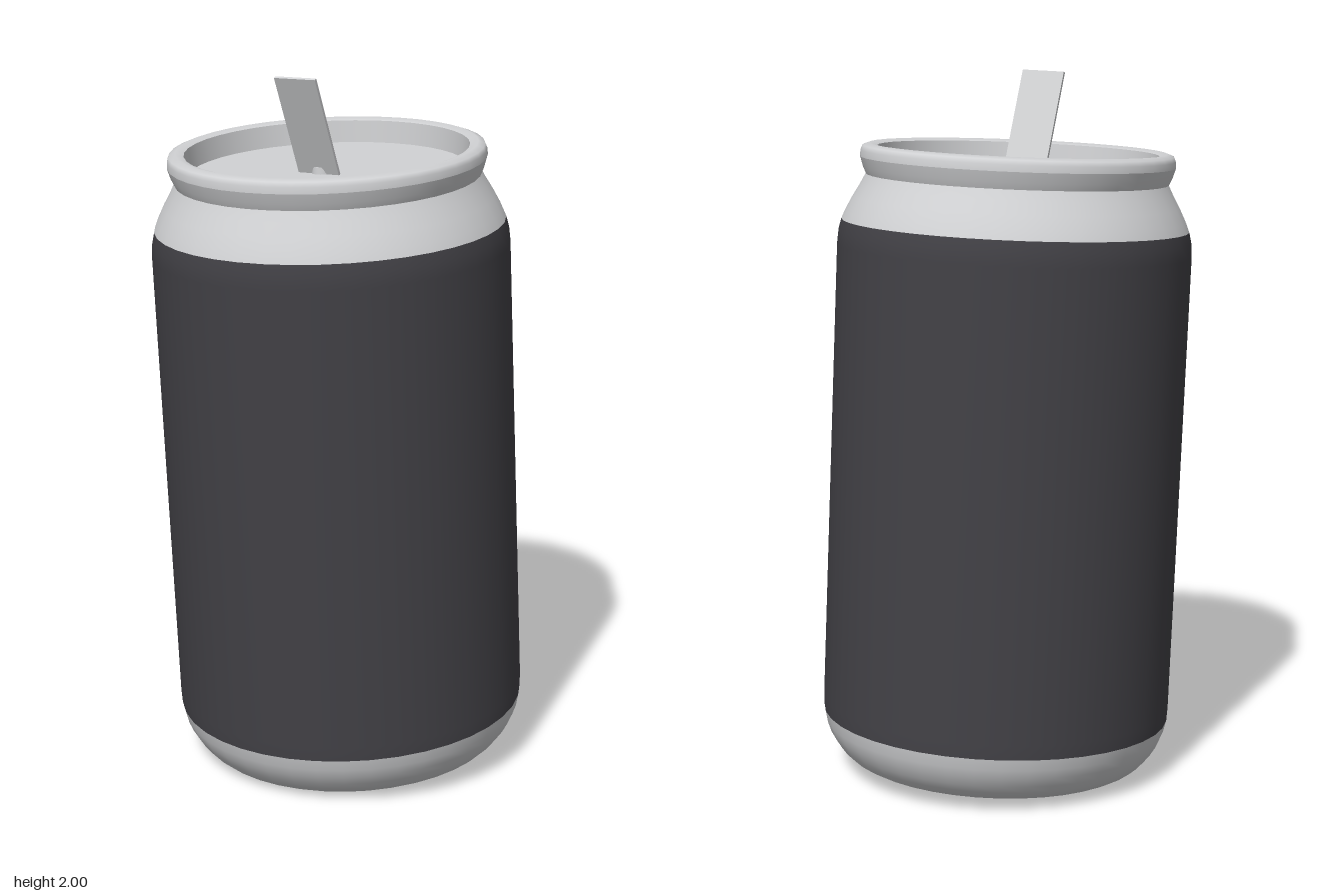
import * as THREE from 'three';

const metal = new THREE.MeshStandardMaterial({ color: 0xd0d1d3 });
metal.name = 'bare metal';
const paint = new THREE.MeshStandardMaterial({ color: 0x424146 });
paint.name = 'dark paint';

const SEGMENTS = 40;

// Smooth surface of revolution; separate lathes keep the edges between them sharp
function lathe(name, profile, material) {
  const points = profile.map(([r, y]) => new THREE.Vector2(r, y));
  const mesh = new THREE.Mesh(new THREE.LatheGeometry(points, SEGMENTS), material);
  mesh.name = name;
  return mesh;
}

export function createModel() {
  const group = new THREE.Group();
  group.name = 'drinkCan';

  // The whole can leans slightly to its right and forward
  const can = new THREE.Group();
  can.name = 'leaningCan';
  can.position.set(0.022, 0.019, -0.036);
  can.quaternion.setFromUnitVectors(
    new THREE.Vector3(0, 1, 0),
    new THREE.Vector3(-0.0255, 1, 0.041).normalize()
  );
  group.add(can);

  // Hollow underside, a shallow dome
  const dome = [];
  for (let i = 0; i <= 8; i++) {
    const a = (i / 8) * Math.PI / 2;
    dome.push([0.405 * Math.sin(a), 0.12 * Math.cos(a)]);
  }
  can.add(lathe('bottomDome', dome, metal));

  // Walls, from foot to neck
  can.add(lathe('bottomCurve',
    [[0.405, 0], [0.428, 0.012], [0.448, 0.03], [0.466, 0.053], [0.482, 0.08], [0.493, 0.108], [0.5, 0.14]], metal));
  can.add(lathe('paintedBody',
    [[0.5, 0.14], [0.502, 0.18], [0.502, 0.85], [0.502, 1.49], [0.499, 1.53], [0.492, 1.56]], paint));
  can.add(lathe('neck',
    [[0.492, 1.56], [0.482, 1.585], [0.462, 1.625], [0.442, 1.66], [0.427, 1.69]], metal));

  // Rolled rim with the recessed lid inside it
  can.add(lathe('rimFlare', [[0.427, 1.688], [0.436, 1.708], [0.445, 1.737]], metal));
  can.add(lathe('rimBead', [[0.445, 1.737], [0.444, 1.755], [0.439, 1.768], [0.42, 1.775], [0.397, 1.768]], metal));
  can.add(lathe('rimInnerWall', [[0.397, 1.768], [0.39, 1.705]], metal));
  can.add(lathe('lid', [[0.39, 1.705], [0, 1.705]], metal));

  // Raised pull tab and its rivet
  const tabGeometry = new THREE.BoxGeometry(0.128, 0.302, 0.009);
  tabGeometry.translate(0, 0.151, 0);
  const tab = new THREE.Mesh(tabGeometry, metal);
  tab.name = 'pullTab';
  tab.position.set(-0.002, 1.705, 0.042);
  tab.rotation.x = 0.36;
  can.add(tab);

  const rivet = new THREE.Mesh(new THREE.CylinderGeometry(0.027, 0.029, 0.02, 20), metal);
  rivet.name = 'rivet';
  rivet.position.set(0, 1.715, 0.03);
  can.add(rivet);

  return group;
}
